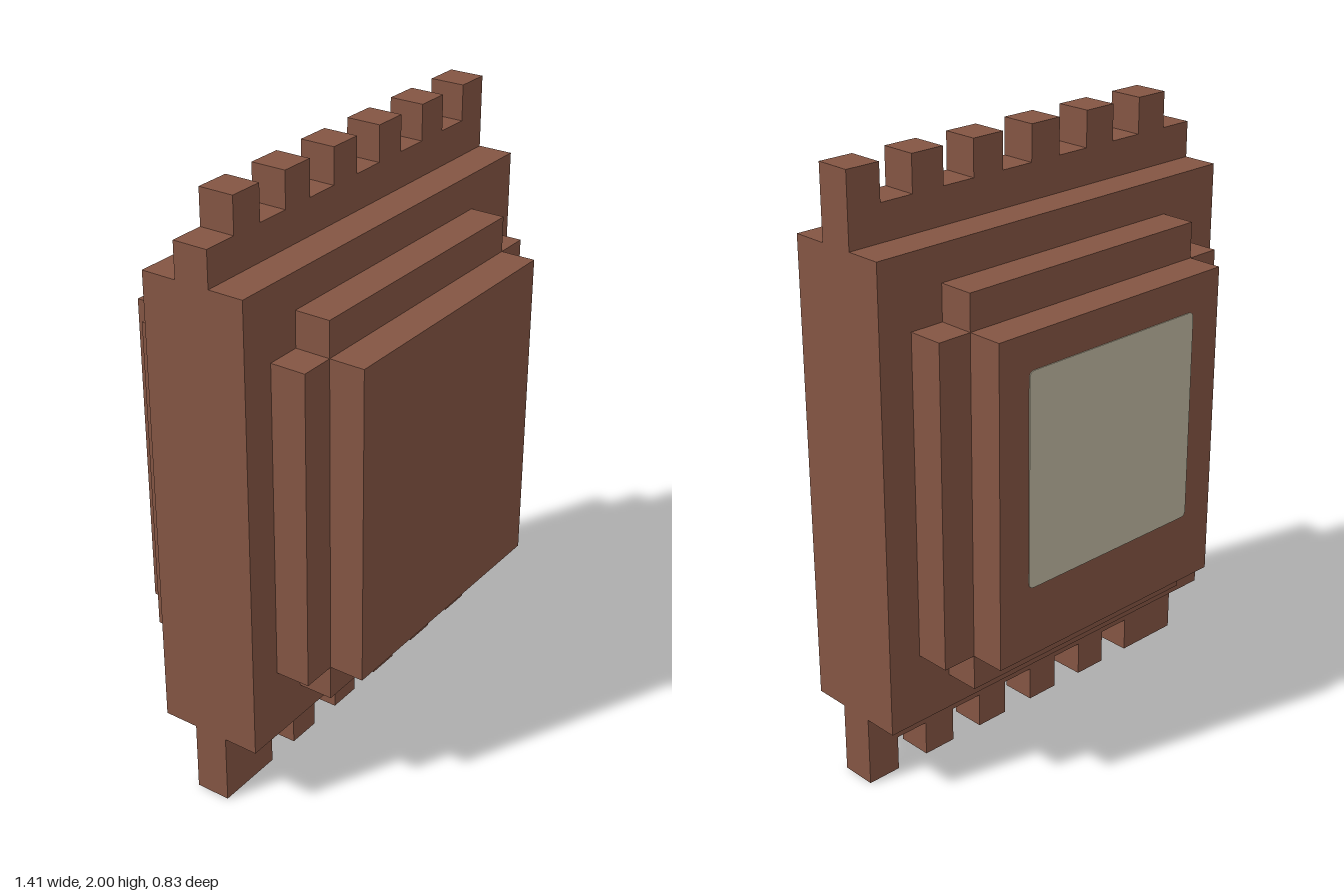
import * as THREE from 'three';

const U = 2 / 17; // the model sits on a grid of 17 units in height

export function createModel() {
  const group = new THREE.Group();
  const brown = new THREE.MeshStandardMaterial({ color: 0x845543 });
  brown.name = 'brown';
  const paleStone = new THREE.MeshStandardMaterial({ color: 0xbeb7a0 });
  paleStone.name = 'pale stone';

  const add = (name, geometry, material) => {
    const mesh = new THREE.Mesh(geometry, material);
    mesh.name = name;
    group.add(mesh);
    return mesh;
  };

  // Extrude an outline given in grid units, centred on z = 0
  const slab = (name, points, depth) => {
    const shape = new THREE.Shape(points.map(([x, y]) => new THREE.Vector2(x * U, y * U)));
    const geometry = new THREE.ExtrudeGeometry(shape, { depth: depth * U, bevelEnabled: false });
    return add(name, geometry.translate(0, 0, -depth * U / 2), brown);
  };

  // Thin core with teeth along its top and bottom edges
  const core = [[-6, 0], [-4, 0], [-4, 1]];
  for (let x = -3; x <= 3; x += 2) core.push([x, 1], [x, 0], [x + 1, 0], [x + 1, 1]);
  core.push([5, 1], [5, 0], [6, 0], [6, 17]);
  for (let x = 5; x >= -5; x -= 2) {
    if (x < 5) core.push([x + 1, 16], [x + 1, 17]);
    core.push([x, 17], [x, 16]);
  }
  core.push([-6, 16]);
  slab('toothedCore', core, 1);

  // Main slab, notched step and raised face, each showing on both sides
  slab('mainSlab', [[-6, 2], [6, 2], [6, 15], [-6, 15]], 3);
  slab('notchedStep', [
    [-4, 3], [4, 3], [4, 4], [5, 4], [5, 13], [4, 13],
    [4, 14], [-4, 14], [-4, 13], [-5, 13], [-5, 4], [-4, 4],
  ], 5);
  slab('raisedFace', [[-4, 4], [4, 4], [4, 13], [-4, 13]], 7);

  // Pale panel with softened corners on the back
  const h = 3 * U, r = 0.02;
  const outline = new THREE.Shape();
  outline.moveTo(-h + r, -h);
  outline.lineTo(h - r, -h).quadraticCurveTo(h, -h, h, -h + r);
  outline.lineTo(h, h - r).quadraticCurveTo(h, h, h - r, h);
  outline.lineTo(-h + r, h).quadraticCurveTo(-h, h, -h, h - r);
  outline.lineTo(-h, -h + r).quadraticCurveTo(-h, -h, -h + r, -h);
  const panel = add('backPanel', new THREE.ExtrudeGeometry(outline, {
    depth: 0.003, bevelEnabled: false, curveSegments: 4,
  }), paleStone);
  panel.position.set(0, 9 * U, -3.5 * U - 0.003);

  return group;
}
